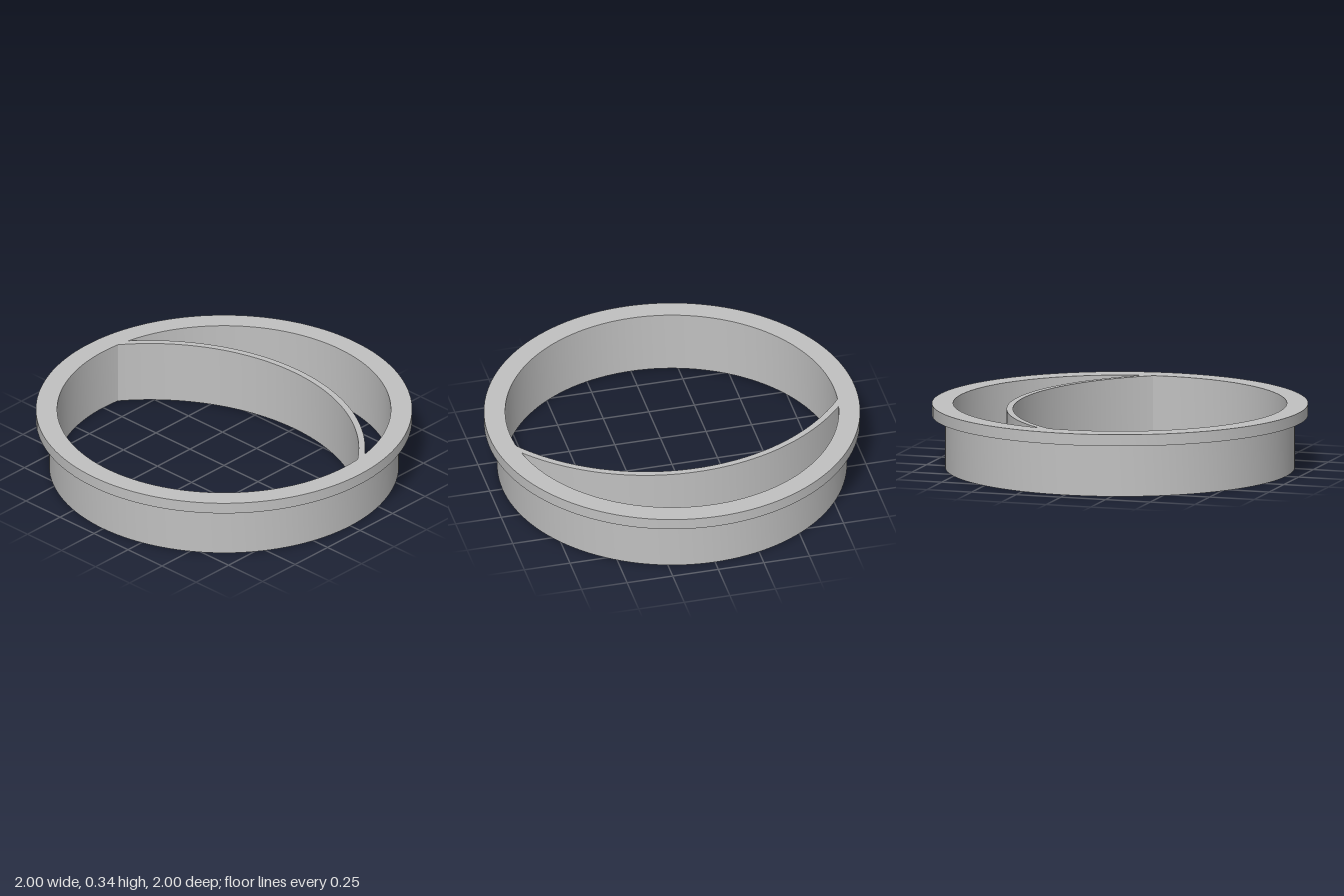
import * as THREE from 'three';
import { toCreasedNormals } from 'three/addons/utils/BufferGeometryUtils.js';

const HEIGHT = 0.345;      // overall height
const FLANGE_Y = 0.283;    // underside of the flange
const INNER_R = 0.887, WALL_R = 0.93, FLANGE_R = 1;

export function createModel() {
  const group = new THREE.Group();
  group.name = 'flangedRing';
  const grey = new THREE.MeshStandardMaterial({ color: 0xc0c0c0 });
  grey.name = 'light grey';

  const add = (name, geometry) => {
    const mesh = new THREE.Mesh(toCreasedNormals(geometry, 0.5), grey);
    mesh.name = name;
    group.add(mesh);
  };

  // Ring wall with its flange, turned from one closed profile
  const profile = [
    [INNER_R, 0], [WALL_R, 0], [WALL_R, FLANGE_Y], [FLANGE_R, FLANGE_Y],
    [FLANGE_R, HEIGHT], [INNER_R, HEIGHT], [INNER_R, 0],
  ].map(([r, y]) => new THREE.Vector2(r, y));
  add('ring', new THREE.LatheGeometry(profile, 128));

  // Thin curved divider, its ends buried in the ring wall
  const centreX = -0.57, outerR = 1.144, innerR = 1.11, sweep = 0.922;
  const arc = new THREE.Shape();
  arc.absarc(centreX, 0, outerR, -sweep, sweep, false);
  arc.absarc(centreX, 0, innerR, sweep, -sweep, true);
  arc.closePath();
  const divider = new THREE.ExtrudeGeometry(arc, {
    depth: HEIGHT, bevelEnabled: false, curveSegments: 48,
  });
  divider.rotateX(-Math.PI / 2);
  add('curvedDivider', divider);

  return group;
}
